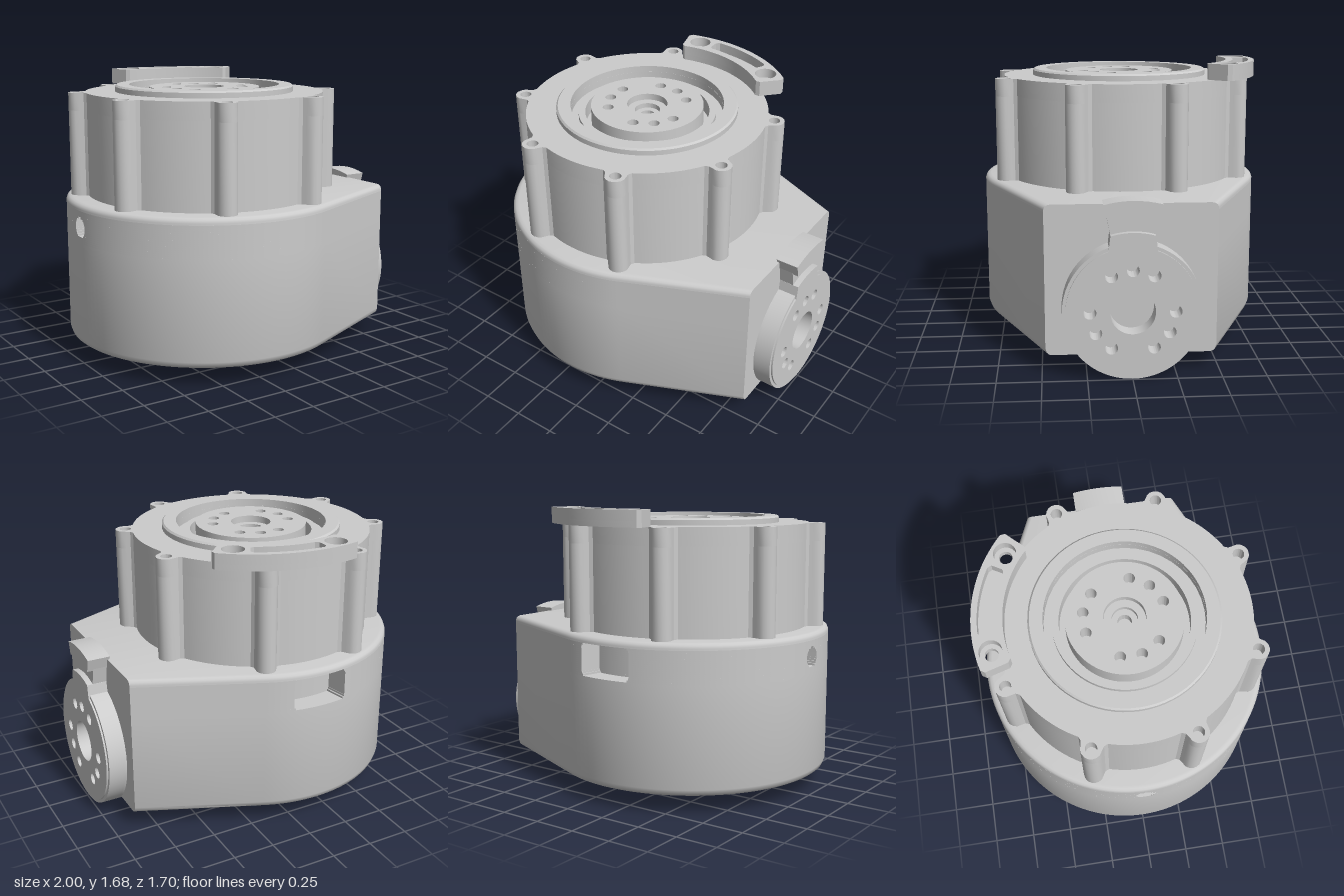
import * as THREE from 'three';
import { toCreasedNormals } from 'three/addons/utils/BufferGeometryUtils.js';

const CX = -0.15;            // vertical axis of the round housing
const FY = 0.39;             // height of the side flange axis
const RAD = Math.PI / 180;
const TANGENT = 66.6;        // angle where the housing's straight flanks begin
const BOLTS = [-105, -75, -45, 15, 45, 75, 135, 165, 195];
const grey = new THREE.MeshStandardMaterial({ color: 0xcccccc });

const polar = (r, deg, cx = CX, cy = 0) =>
  new THREE.Vector2(cx + r * Math.cos(deg * RAD), cy + r * Math.sin(deg * RAD));

// Points of an arc from angle a to angle b
function arc(r, a, b, n, cx = CX, cy = 0) {
  return Array.from({ length: n + 1 }, (_, i) => polar(r, a + (b - a) * i / n, cx, cy));
}

function circle(p, r) {
  return new THREE.Path().absarc(p.x, p.y, r, 0, Math.PI * 2, true);
}

function shapeOf(points, holes = []) {
  const s = new THREE.Shape(points);
  s.holes.push(...holes);
  return s;
}

function add(parent, name, geometry) {
  const m = new THREE.Mesh(toCreasedNormals(geometry, 0.6), grey);
  m.name = name;
  parent.add(m);
  return m;
}

// Plan shape (x, z) raised from y0 to y1
function slab(parent, name, shape, y0, y1) {
  const g = new THREE.ExtrudeGeometry(shape, { depth: y1 - y0, bevelEnabled: false, curveSegments: 20 });
  return add(parent, name, g.rotateX(Math.PI / 2).translate(0, y1, 0));
}

// Side shape (-z, y) extended from x0 to x1
function sideSlab(parent, name, shape, x0, x1) {
  const g = new THREE.ExtrudeGeometry(shape, { depth: x1 - x0, bevelEnabled: false, curveSegments: 20 });
  return add(parent, name, g.rotateY(Math.PI / 2).translate(x0, 0, 0));
}

// Teardrop plan of the housing, pulled in by an inset
function teardrop(inset) {
  const w = 0.48 - inset;
  return [new THREE.Vector2(0.88, -w), new THREE.Vector2(0.88, w),
    ...arc(0.85 - inset, TANGENT, 360 - TANGENT, 90)];
}

// Skin through teardrop rows [y, inset]; a row without inset closes to a point
function loft(rows) {
  const n = teardrop(0).length;
  const rings = rows.map(([y, inset]) => (inset === undefined
    ? Array.from({ length: n }, () => [CX, y, 0])
    : teardrop(inset).map(p => [p.x, y, p.y])));
  const pos = [];
  for (let r = 0; r < rings.length - 1; r++) {
    const a = rings[r], b = rings[r + 1];
    for (let i = 0; i < n; i++) {
      const j = (i + 1) % n;
      if (rows[r + 1][1] !== undefined) pos.push(...a[i], ...b[i], ...b[j]);
      else pos.push(...a[i], ...b[i], ...a[j]);
      if (rows[r][1] !== undefined && rows[r + 1][1] !== undefined) pos.push(...a[i], ...b[j], ...a[j]);
    }
  }
  const g = new THREE.BufferGeometry();
  g.setAttribute('position', new THREE.Float32BufferAttribute(pos, 3));
  return g;
}

// Housing with rounded edges, a cable slot at the back and a round port on the side
function buildHousing(root) {
  const g = new THREE.Group();
  g.name = 'housing';
  add(g, 'lowerHousing', loft([[0.17], [0.17, 0.06], [0.11, 0.04], [0.113, 0.022],
    [0.123, 0.009], [0.15, 0], [0.74, 0], [0.74]]));
  add(g, 'upperHousing', loft([[0.93], [0.93, 0], [0.94, 0], [0.956, 0.006],
    [0.966, 0.018], [0.97, 0.036], [0.97]]));

  const mounts = [[0.35, -0.48], [0.46, 0.04], [0.35, 0.48]];
  slab(g, 'bottomPlate', shapeOf(teardrop(0.04),
    mounts.map(([x, z]) => circle(new THREE.Vector2(x, z), 0.05))), 0.11, 0.17);

  // Thin slices whose notches follow the outlines of slot and port
  const n = 16, y0 = 0.74, h = 0.19 / n;
  for (let i = 0; i < n; i++) {
    const y = y0 + (i + 0.5) * h;
    const edge = Math.max(0, 0.03 - Math.min(y - y0, 0.93 - y));
    const slot = 11.5 - (0.03 - Math.sqrt(0.0009 - edge * edge)) / 0.85 / RAD;
    const port = Math.sqrt(Math.max(0, 0.06 ** 2 - (y - 0.83) ** 2)) / 0.85 / RAD;
    const pts = [new THREE.Vector2(0.88, -0.48), new THREE.Vector2(0.88, 0.48),
      ...arc(0.85, TANGENT, 180 - port, 44)];
    if (port > 0) pts.push(...arc(0.72, 180 - port, 180 + port, 4));
    pts.push(...arc(0.85, 180 + port + 0.01, 270.5 - slot, 32), ...arc(0.72, 270.5 - slot, 270.5 + slot, 8),
      ...arc(0.85, 270.5 + slot, 360 - TANGENT, 5));
    slab(g, 'housingWall', shapeOf(pts), y0 + i * h, y0 + (i + 1) * h);
  }
  root.add(g);
}

// Upper drum with eight screw bosses
function buildDrum(root) {
  const g = new THREE.Group();
  g.name = 'drum';
  const half = [[0, 0.82], [1.5, 0.8165], [3, 0.804], [4, 0.786], [4.5, 0.758], [5, 0.735], [6.5, 0.72]];
  const boss = [...half.slice(1).reverse().map(([d, r]) => [-d, r]), ...half];
  const outline = [], screws = [];
  for (let k = 0; k < 8; k++) {
    const a = 22.5 + 45 * k;
    boss.forEach(([d, r]) => outline.push(polar(r, a + d)));
    outline.push(...arc(0.72, a + 10, a + 35, 8));
    screws.push(circle(polar(0.76, a), 0.033));
  }
  slab(g, 'drumWall', shapeOf(outline), 0.97, 1.48);
  slab(g, 'drumTop', shapeOf(outline, [...screws, circle(polar(0, 0), 0.455)]), 1.48, 1.585);

  const turn = (name, profile) => add(g, name, new THREE.LatheGeometry(
    profile.map(([r, y]) => new THREE.Vector2(r, y)), 72)).position.set(CX, 0, 0);
  turn('bearingRing', [[0.54, 1.58], [0.54, 1.615], [0.53, 1.625], [0.455, 1.625], [0.455, 1.48]]);
  turn('sealRing', [[0.455, 1.54], [0.41, 1.54], [0.41, 1.57], [0.37, 1.57], [0.37, 1.48]]);
  turn('hubCentre', [[0.12, 1.57], [0.075, 1.57], [0.075, 1.54], [0.04, 1.54], [0.04, 1.48]]);
  const holes = BOLTS.map(a => circle(polar(0.235, a), 0.032));
  slab(g, 'outputHub', shapeOf(arc(0.335, 0, 355, 71), [...holes, circle(polar(0, 0), 0.12)]), 1.48, 1.61);
  root.add(g);
}

// Curved stop bracket with two counterbored holes and a pocket
function buildBracket(root) {
  const g = new THREE.Group();
  g.name = 'stopBracket';
  const sector = (r0, r1, a, b, t) => [polar(r0 + t, a), ...arc(r0, a + 1.5, b - 1.5, 20), polar(r0 + t, b),
    polar(r1 - t, b), ...arc(r1, b - 1.5, a + 1.5, 20), polar(r1 - t, a)];
  const outline = sector(0.67, 0.845, -106, -46, 0.02);
  const ends = [-98.6, -53.4].map(a => polar(0.76, a));
  slab(g, 'bracketBase', shapeOf(outline, ends.map(p => circle(p, 0.038))), 1.585, 1.62);
  slab(g, 'bracketTop', shapeOf(outline, [...ends.map(p => circle(p, 0.065)),
    new THREE.Path(sector(0.715, 0.81, -91.5, -60.5, 0.015))]), 1.62, 1.68);
  root.add(g);
}

// Side output flange with its bolt circle and upper tab
function buildFlange(root) {
  const g = new THREE.Group();
  g.name = 'sideFlange';
  const disc = r => arc(r, 0, 355, 71, 0, FY);
  const holes = [...BOLTS.map(a => circle(polar(0.235, a + 165, 0, FY), 0.035)),
    circle(polar(0, 0, 0, FY), 0.125)];
  sideSlab(g, 'flangeCollar', shapeOf(disc(0.387)), 0.79, 0.89);
  sideSlab(g, 'flangeRim', shapeOf(disc(0.387), [circle(polar(0, 0, 0, FY), 0.36)]), 0.88, 0.99);
  sideSlab(g, 'flangeFace', shapeOf(disc(0.368), holes), 0.885, 1);

  // Tab bounded by two arcs; the middle is set back between foot and lip
  const tab = (r0, w0, r1, w1) => shapeOf([...arc(r0, 90 - w0, 90 + w0, 8, 0, FY),
    ...arc(r1, 90 + w1, 90 - w1, 8, 0, FY)]);
  sideSlab(g, 'tabFoot', tab(0.36, 22, 0.445, 16), 0.87, 1);
  sideSlab(g, 'tabNeck', tab(0.43, 16, 0.55, 15), 0.87, 0.965);
  sideSlab(g, 'tabLip', tab(0.54, 15, 0.62, 15), 0.865, 1);
  root.add(g);
}

export function createModel() {
  const root = new THREE.Group();
  root.name = 'rotaryActuator';
  buildHousing(root);
  buildDrum(root);
  buildBracket(root);
  buildFlange(root);
  // Lathe profiles here run inward over the top, so show both faces
  grey.side = THREE.DoubleSide;
  return root;
}
